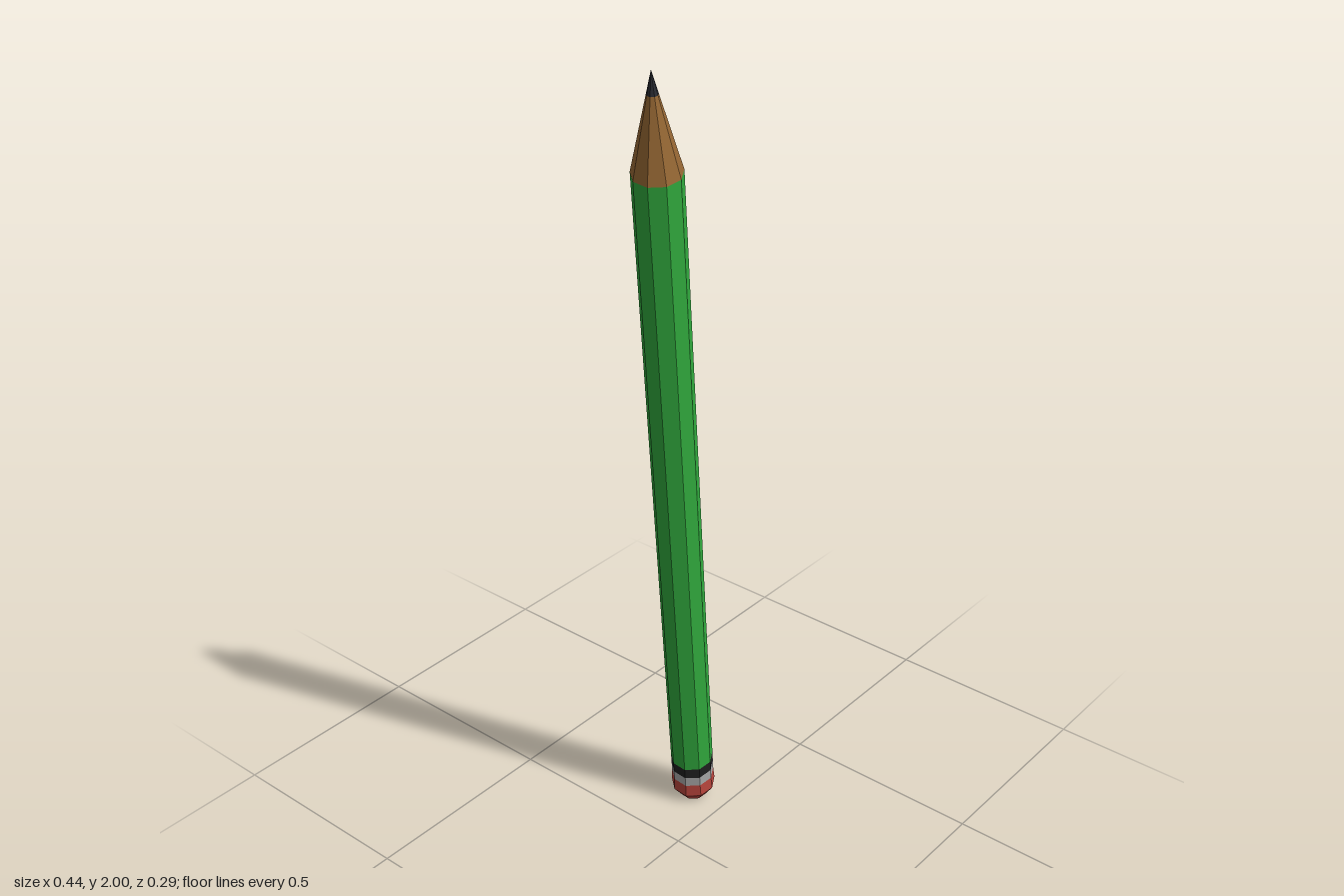
import * as THREE from 'three';

const SIDES = 9;

// One nine-sided section of the pencil, from height a to b along its axis
function section(name, color, a, b, rBottom, rTop, open = true) {
  const geometry = new THREE.CylinderGeometry(rTop, rBottom, b - a, SIDES, 1, open, Math.PI / 2);
  geometry.translate(0, (a + b) / 2, 0);
  const mesh = new THREE.Mesh(geometry, new THREE.MeshStandardMaterial({ color, flatShading: true }));
  mesh.name = name;
  return mesh;
}

export function createModel() {
  const pencil = new THREE.Group();
  pencil.name = 'pencil';
  const r = 0.0525;

  pencil.add(
    // rubber end with a bevelled tip
    section('eraserBevel', 0xc0483f, 0, 0.032, 0.036, 0.0545, false),
    section('eraser', 0xc0483f, 0.032, 0.07, 0.0545, r),
    // metal collar and dark ring
    section('ferrule', 0xb0b0b0, 0.07, 0.1, r, r),
    section('darkRing', 0x222222, 0.1, 0.132, r, r),
    // painted shaft
    section('shaft', 0x33b040, 0.132, 1.823, r, r),
    // sharpened wood and lead
    section('sharpenedWood', 0x9a6a35, 1.823, 1.991, r, 0.012),
    section('lead', 0x2a2c33, 1.991, 2.041, 0.012, 0),
  );

  // lean the pencil to its right and forward
  const axis = new THREE.Vector3(-0.195, 1, 0.1046).normalize();
  pencil.quaternion.setFromUnitVectors(new THREE.Vector3(0, 1, 0), axis);
  pencil.position.set(0.1745, 0.007, -0.0945);

  const model = new THREE.Group();
  model.name = 'leaningPencil';
  model.add(pencil);
  return model;
}
